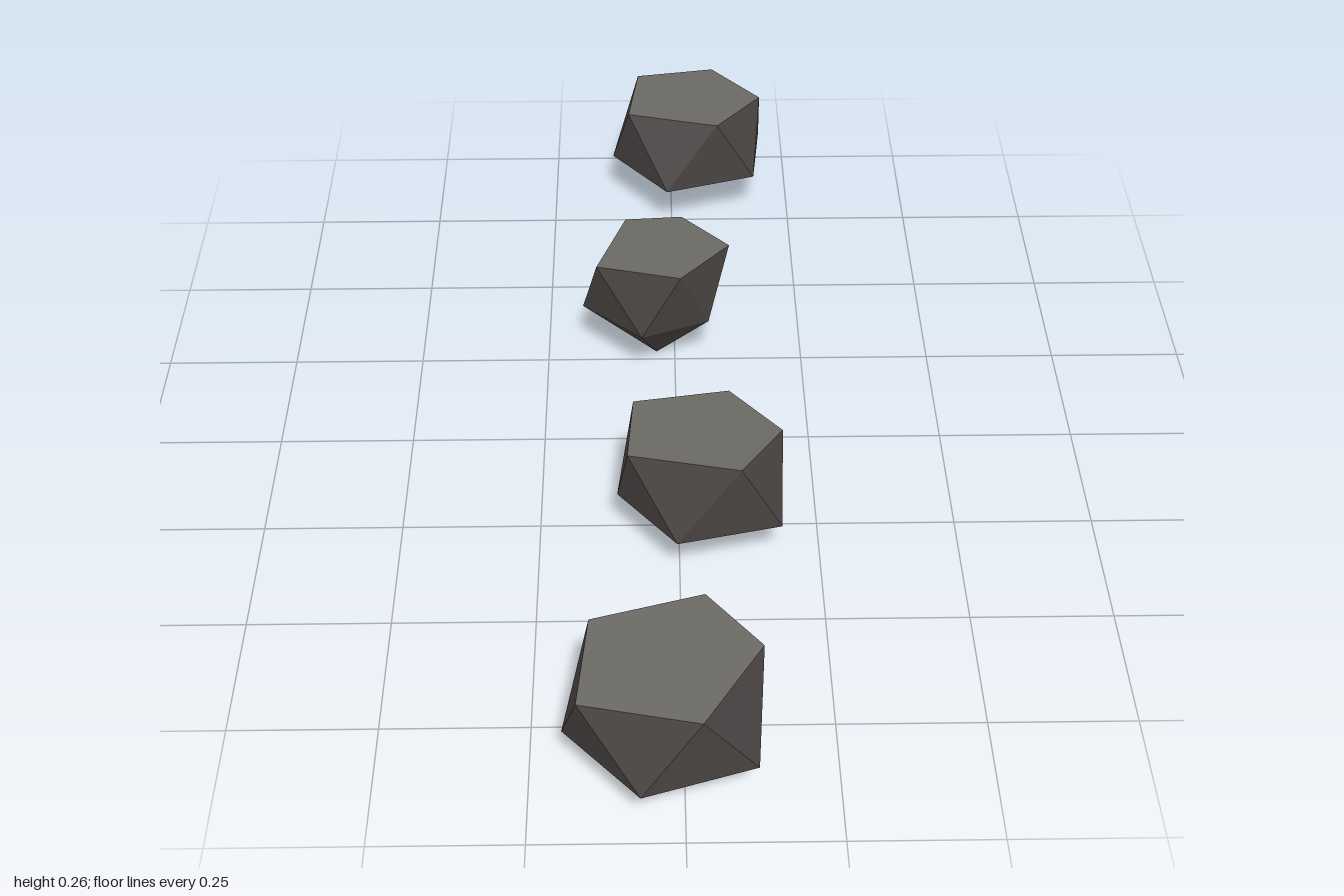
import * as THREE from 'three';

// Each stone: a slightly tilted five-sided top, a staggered waist ring and a bottom tip.
const STONES = [
  {
    top: [[-0.167, 0.256, 0.95], [0.026, 0.243, 0.98], [0.125, 0.24, 0.81], [0.035, 0.252, 0.705], [-0.15, 0.256, 0.765]],
    waist: [[-0.07, 0.103, 1.0], [0.115, 0.104, 0.94], [0.105, 0.1, 0.77], [-0.075, 0.1, 0.698], [-0.195, 0.1, 0.855]],
    tip: [-0.01, 0.026, 0.86],
  },
  {
    top: [[-0.09, 0.254, 0.36], [0.105, 0.25, 0.398], [0.18, 0.247, 0.285], [0.09, 0.249, 0.175], [-0.08, 0.254, 0.21]],
    waist: [[-0.005, 0.1, 0.415], [0.18, 0.095, 0.365], [0.155, 0.1, 0.22], [-0.005, 0.1, 0.155], [-0.11, 0.1, 0.28]],
    tip: [0.043, 0.013, 0.29],
  },
  {
    top: [[-0.15, 0.256, -0.203], [0.01, 0.254, -0.165], [0.105, 0.251, -0.28], [0.015, 0.25, -0.382], [-0.095, 0.254, -0.368]],
    waist: [[-0.065, 0.115, -0.165], [0.065, 0.11, -0.225], [0.07, 0.105, -0.345], [-0.075, 0.105, -0.39], [-0.18, 0.11, -0.28]],
    tip: [-0.036, 0, -0.275],
  },
  {
    top: [[-0.09, 0.251, -0.77], [0.095, 0.246, -0.73], [0.188, 0.243, -0.85], [0.09, 0.243, -0.97], [-0.07, 0.248, -0.935]],
    waist: [[-0.01, 0.1, -0.703], [0.175, 0.098, -0.765], [0.193, 0.096, -0.945], [-0.01, 0.1, -1.0], [-0.125, 0.1, -0.85]],
    tip: [0.04, 0.022, -0.845],
  },
];

function facets(triangles, material, name) {
  const geometry = new THREE.BufferGeometry();
  geometry.setAttribute('position', new THREE.Float32BufferAttribute(triangles.flat(2), 3));
  geometry.computeVertexNormals();
  const mesh = new THREE.Mesh(geometry, material);
  mesh.name = name;
  return mesh;
}

export function createModel() {
  const topStone = new THREE.MeshStandardMaterial({ color: 0x6b6963, flatShading: true });
  topStone.name = 'worn grey';
  const sideStone = new THREE.MeshStandardMaterial({ color: 0x4a4543, flatShading: true });
  sideStone.name = 'dark rock';

  const model = new THREE.Group();
  model.name = 'steppingStones';

  STONES.forEach(({ top, waist, tip }, n) => {
    const sides = [];
    const cap = [];
    const centre = [0, 1, 2].map((k) => top.reduce((sum, p) => sum + p[k], 0) / top.length);
    // Rings run counter-clockwise from above; waist corner i sits between top corners i and i + 1
    for (let i = 0; i < 5; i++) {
      const j = (i + 1) % 5;
      cap.push([centre, top[i], top[j]]);
      sides.push([top[i], waist[i], top[j]]);
      sides.push([waist[i], waist[j], top[j]]);
      sides.push([waist[i], tip, waist[j]]);
    }
    const stone = new THREE.Group();
    stone.name = `stone${n + 1}`;
    stone.add(facets(cap, topStone, 'flatTop'), facets(sides, sideStone, 'rockSides'));
    model.add(stone);
  });
  return model;
}
